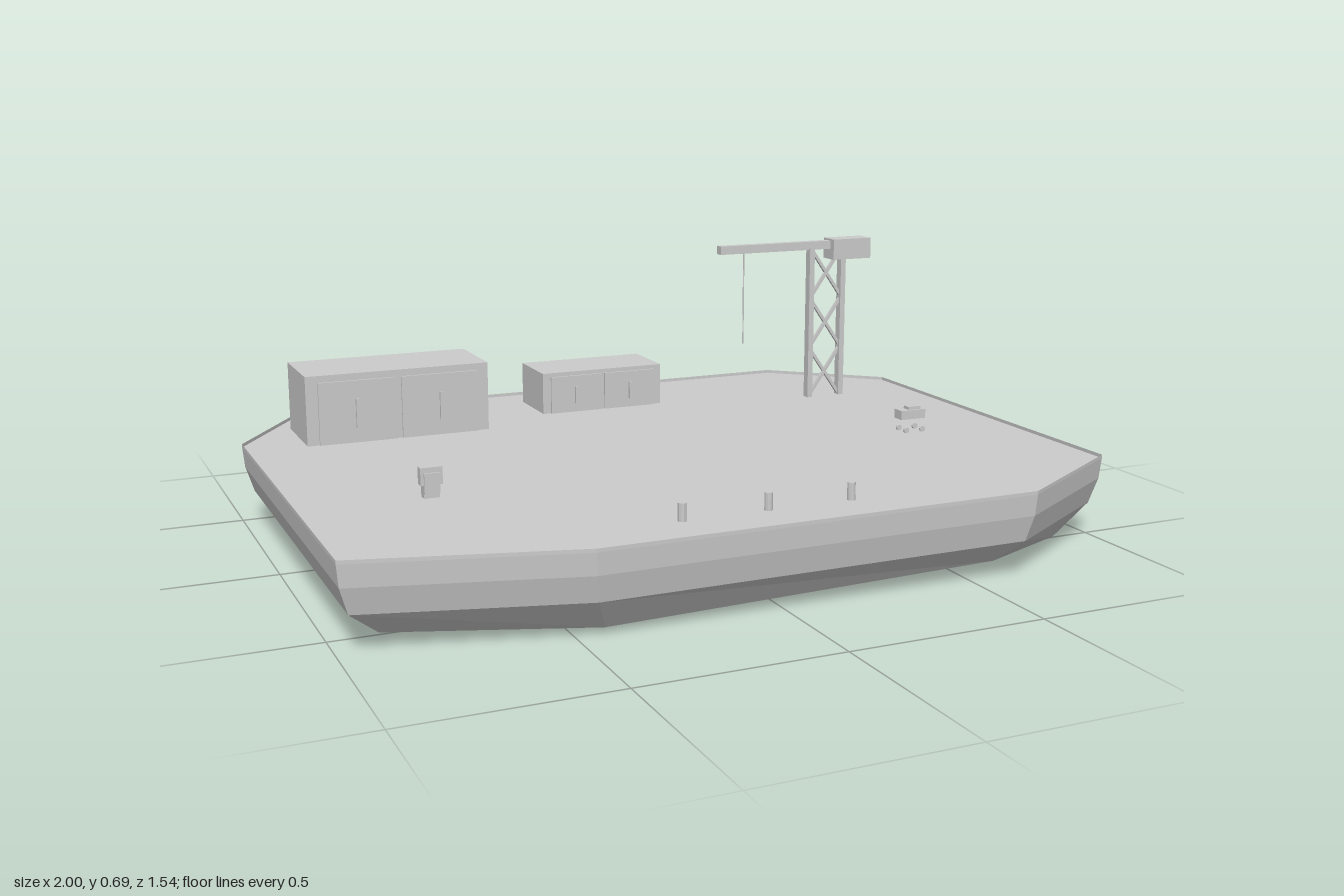
import * as THREE from 'three';

const grey = new THREE.MeshStandardMaterial({ color: 0xcccccc, flatShading: true, side: THREE.DoubleSide });
const DECK = 0.213;

function add(parent, name, geometry, x = 0, y = 0, z = 0) {
  const mesh = new THREE.Mesh(geometry, grey);
  mesh.name = name;
  mesh.position.set(x, y, z);
  parent.add(mesh);
  return mesh;
}

// Box given by its extents along each axis
function box(parent, name, [x0, x1], [y0, y1], [z0, z1]) {
  return add(parent, name, new THREE.BoxGeometry(x1 - x0, y1 - y0, z1 - z0),
    (x0 + x1) / 2, (y0 + y1) / 2, (z0 + z1) / 2);
}

function group(parent, name) {
  const g = new THREE.Group();
  g.name = name;
  parent.add(g);
  return g;
}

// Triangles between successive rings of points
function loft(rings) {
  const pos = [];
  for (let r = 0; r < rings.length - 1; r++) {
    const up = rings[r], low = rings[r + 1], n = up.length;
    for (let i = 0; i < n; i++) {
      const j = (i + 1) % n;
      pos.push(...up[i], ...up[j], ...low[i], ...up[j], ...low[j], ...low[i]);
    }
  }
  return toGeometry(pos);
}

// Fan of triangles from a centre point to a ring
function cap(ring, centre, faceUp) {
  const pos = [];
  ring.forEach((p, i) => {
    const q = ring[(i + 1) % ring.length];
    pos.push(...centre, ...(faceUp ? q : p), ...(faceUp ? p : q));
  });
  return toGeometry(pos);
}

function toGeometry(pos) {
  const g = new THREE.BufferGeometry();
  g.setAttribute('position', new THREE.Float32BufferAttribute(pos, 3));
  g.computeVertexNormals();
  return g;
}

// Eight-cornered hull: x, z of the deck corner and height of the keel corner
function buildHull(root) {
  const corners = [
    [-0.78, -0.775, 0.01], [0.72, -0.775, 0.03], [1, -0.53, 0.015], [1, 0.55, 0],
    [0.64, 0.77, 0.035], [-0.48, 0.77, 0.015], [-1, 0.63, 0.03], [-1, -0.45, 0.03],
  ];
  const ring = (s, y) => corners.map(([x, z, low]) => [x * s, y ?? low, z * s]);
  const hull = group(root, 'hull');
  const keel = ring(0.9);
  add(hull, 'hullSides', loft([ring(1, DECK), ring(0.995, 0.16), ring(0.975, 0.095), keel]));
  add(hull, 'hullBottom', cap(keel, [0, 0.018, 0], false));
  add(hull, 'deck', cap(ring(1, DECK), [0, DECK, 0], true));
  add(hull, 'deckRim', loft([ring(1, 0.222), ring(1, DECK)]));
}

// Storage cabin with two front doors and their handles
function buildCabin(root, name, [x0, x1], top, [z0, z1]) {
  const cabin = group(root, name);
  box(cabin, 'cabinBody', [x0, x1], [DECK, top], [z0, z1]);
  const w = x1 - x0, h = top - DECK, mid = (x0 + x1) / 2;
  for (const side of [-1, 1]) {
    const cx = mid + side * w * 0.225;
    box(cabin, 'cabinDoor', [cx - w * 0.21, cx + w * 0.21], [DECK, top - h * 0.1], [z1, z1 + 0.006]);
    const hx = cx + side * w * 0.005;
    box(cabin, 'doorHandle', [hx - 0.004, hx + 0.004], [DECK + h * 0.22, DECK + h * 0.64], [z1 + 0.006, z1 + 0.014]);
  }
}

// Lattice mast with a head block, boom and hanging cable
function buildCrane(root) {
  const crane = group(root, 'crane');
  const z = -0.408, left = 0.668, right = 0.773, top = 0.66, bays = 3;
  for (const x of [left, right]) {
    box(crane, 'mastPost', [x - 0.008, x + 0.008], [DECK, top], [z - 0.012, z + 0.012]);
  }
  const h = (top - DECK) / bays, w = right - left;
  for (let i = 0; i < bays; i++) {
    for (const s of [-1, 1]) {
      const brace = add(crane, 'mastBrace', new THREE.BoxGeometry(Math.hypot(w, h), 0.009, 0.009),
        (left + right) / 2, DECK + (i + 0.5) * h, z);
      brace.rotation.z = s * Math.atan2(h, w);
    }
  }
  box(crane, 'craneHead', [0.73, 0.855], [0.625, 0.685], [-0.44, -0.38]);
  box(crane, 'boom', [0.37, 0.74], [0.656, 0.68], [-0.424, -0.4]);
  add(crane, 'cable', new THREE.CylinderGeometry(0.002, 0.002, 0.27, 6), 0.45, 0.525, -0.412);
}

// Small standing control post
function buildConsole(root) {
  const c = group(root, 'controlPost');
  box(c, 'postBase', [-0.698, -0.66], [DECK, 0.245], [0.2, 0.224]);
  box(c, 'postCabinet', [-0.706, -0.652], [0.245, 0.288], [0.203, 0.226]);
  box(c, 'postPanel', [-0.698, -0.66], [0.225, 0.275], [0.224, 0.231]);
}

// Small cart: raised body, low seat block and four wheels
function buildCart(root) {
  const cart = group(root, 'cart');
  box(cart, 'cartBody', [0.655, 0.73], [0.257, 0.282], [0.102, 0.138]);
  box(cart, 'cartTop', [0.68, 0.718], [0.282, 0.29], [0.108, 0.132]);
  for (const x of [0.67, 0.72]) {
    for (const z of [0.102, 0.14]) {
      const wheel = add(cart, 'cartWheel', new THREE.CylinderGeometry(0.008, 0.008, 0.006, 10), x, 0.228, z);
      wheel.rotation.x = Math.PI / 2;
    }
  }
}

export function createModel() {
  const root = new THREE.Group();
  root.name = 'barge';
  buildHull(root);
  buildCabin(root, 'largeCabin', [-0.84, -0.34], 0.4, [-0.61, -0.39]);
  buildCabin(root, 'smallCabin', [-0.14, 0.225], 0.33, [-0.68, -0.503]);
  buildCrane(root);
  buildConsole(root);
  buildCart(root);
  // Mooring bollards along the front edge
  for (const x of [-0.22, -0.003, 0.214]) {
    add(root, 'bollard', new THREE.CylinderGeometry(0.01, 0.01, 0.043, 10), x, DECK + 0.0215, 0.63);
  }
  return root;
}
